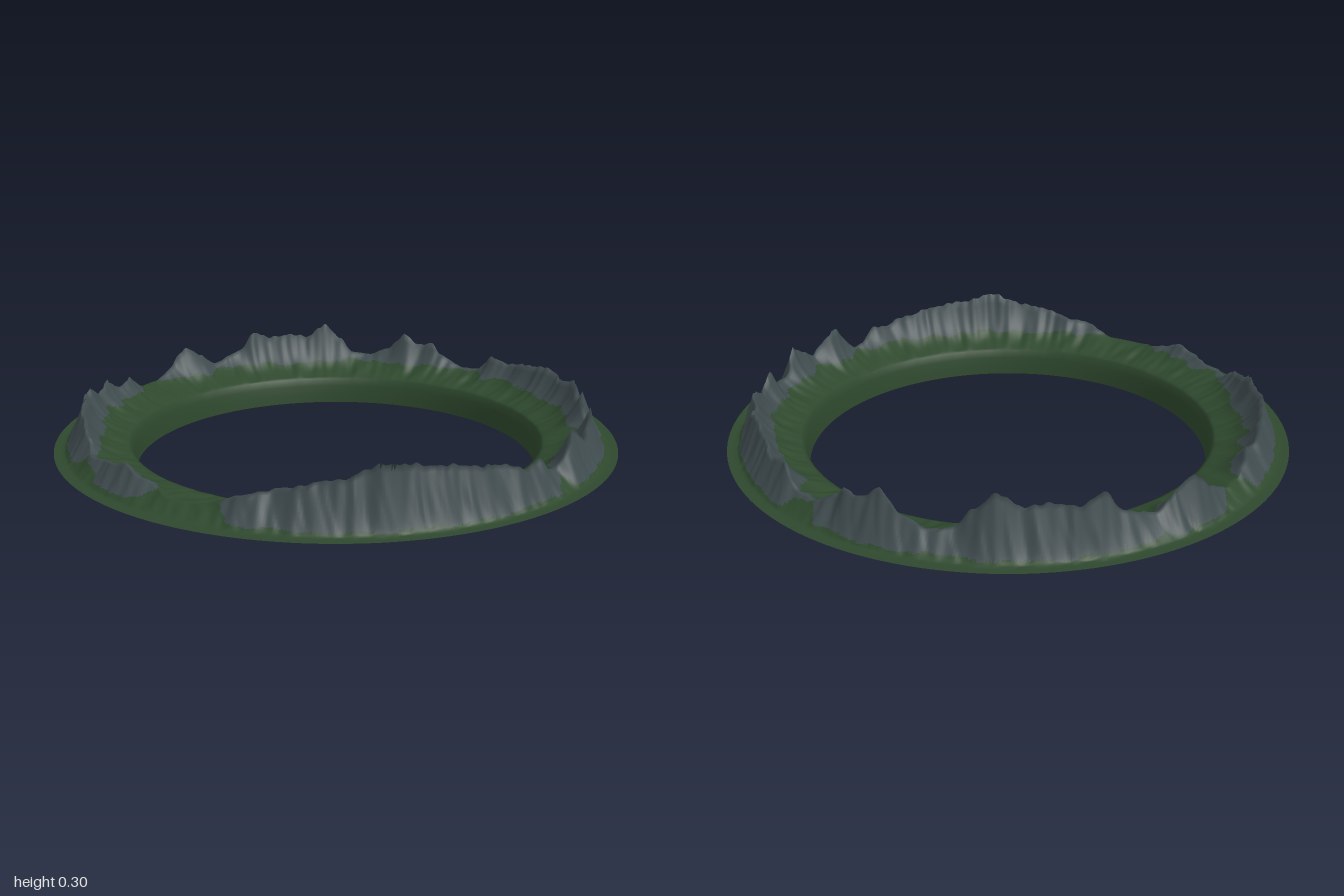
import * as THREE from 'three';

// Crest line: [angle in degrees from the front towards +x, height]
const CREST = [
  [0, .14], [8, .14], [14, .185], [18, .2], [24, .22], [28, .24], [33, .25], [38, .275], [42, .3],
  [48, .28], [57, .265], [62, .25], [67, .24], [72, .21], [77, .22], [81, .17], [84, .16], [90, .27],
  [93, .25], [98, .19], [103, .235], [106, .27], [111, .18], [116, .17], [121, .26], [126, .21],
  [132, .25], [138, .23], [145, .25], [155, .23], [161, .21], [166, .23], [171, .16], [176, .155],
  [182, .2], [185, .24], [189, .23], [193, .27], [198, .2], [203, .17], [208, .18], [211, .24],
  [216, .3], [221, .25], [226, .265], [231, .25], [236, .285], [240, .21], [248, .17], [253, .22],
  [257, .26], [262, .19], [268, .15], [273, .15], [279, .21], [284, .19], [289, .24], [294, .21],
  [300, .25], [306, .24], [311, .26], [317, .23], [323, .21], [329, .155], [335, .165], [341, .18],
  [346, .2], [351, .17], [356, .15],
];
const SEGMENTS = 720;
const R_WALL = 0.735, R_FOOT = 0.965, INNER_STEPS = 14, OUTER_STEPS = 12;

// Periodic ripple made of whole-number waves, about -1..1
const ripple = (a, f, p) =>
  (Math.sin(a * f + p) + Math.sin(a * (f * 2 + 3) + p * 2.3) + Math.sin(a * (f * 3 + 7) + p * 4.1)) / 2.2;

function crestHeight(a) {
  const deg = THREE.MathUtils.radToDeg(a) % 360;
  let i = CREST.length - 1;
  while (CREST[i][0] > deg) i--;
  const [a0, h0] = CREST[i];
  const [a1, h1] = CREST[i + 1] ?? [360, CREST[0][1]];
  const t = (deg - a0) / (a1 - a0);
  const h = THREE.MathUtils.lerp(h0, h1, t * 0.5 + t * t * (3 - 2 * t) * 0.5);
  return h + ripple(a, 47, 1) * 0.04 * Math.max(0, h - 0.14);
}

// Cross-section from the bottom of the inner wall, over the crest, to the outer rim
function section(a) {
  const h = crestHeight(a);
  const rc = 0.893 + 0.011 * ripple(a, 11, 0.7) + 0.003 * ripple(a, 41, 2);
  const pts = [[0.72, 0], [0.723, 0.035], [0.728, 0.07]];
  for (let k = 0; k <= INNER_STEPS; k++) {
    const t = k / INNER_STEPS;
    const bump = t * (1 - t) * (0.02 * ripple(a + t * 0.08, 17, 3) + 0.012 * ripple(a, 37, 1));
    const shelf = 0.1 + 0.042 * Math.pow(t, 0.75);
    pts.push([R_WALL + (rc - R_WALL) * t, shelf + (h - 0.142) * Math.pow(t, 3.4) + bump]);
  }
  for (let k = 1; k <= OUTER_STEPS; k++) {
    const t = 1 - k / OUTER_STEPS;
    const rib = t * (1 - t) * (h - 0.1) * (0.25 * ripple(a, 31, 5) + 0.1 * ripple(a + t * 0.05, 67, 2));
    pts.push([R_FOOT + (rc - R_FOOT) * t, 0.1 + (h - 0.1) * Math.pow(t, 1.3) + rib]);
  }
  pts.push([0.98, 0.1], [1, 0.1]);
  return { pts, h };
}

export function createModel() {
  const grass = new THREE.MeshStandardMaterial({ color: 0x2e482d, side: THREE.DoubleSide });
  grass.name = 'forest green';
  const rock = new THREE.MeshStandardMaterial({ color: 0x3f4b4e, side: THREE.DoubleSide });
  rock.name = 'slate grey';

  // Closed loop of cross-sections
  const positions = [], crests = [];
  let rows = 0;
  for (let i = 0; i < SEGMENTS; i++) {
    const a = (i / SEGMENTS) * Math.PI * 2;
    const { pts, h } = section(a);
    rows = pts.length;
    crests.push(h);
    for (const [r, y] of pts) positions.push(r * Math.sin(a), y, r * Math.cos(a));
  }

  // Faces are sorted into grass below the tree line and rock above it
  const grassFaces = [], rockFaces = [];
  const crestRow = 3 + INNER_STEPS;
  for (let i = 0; i < SEGMENTS; i++) {
    const next = (i + 1) % SEGMENTS;
    const wave = 0.008 * ripple((i / SEGMENTS) * Math.PI * 2, 13, 4);
    const low = 1 - THREE.MathUtils.smoothstep(crests[i], 0.145, 0.18);
    for (let j = 0; j < rows - 1; j++) {
      const line = j < crestRow ? 0.152 + wave : 0.113 + 0.045 * low + wave * 0.4;
      const a = i * rows + j, b = a + 1, c = next * rows + j, d = c + 1;
      for (const tri of [[a, b, c], [b, d, c]]) {
        const y = tri.reduce((s, v) => s + positions[v * 3 + 1], 0) / 3;
        (y > line ? rockFaces : grassFaces).push(...tri);
      }
    }
  }

  const geometry = new THREE.BufferGeometry();
  geometry.setAttribute('position', new THREE.Float32BufferAttribute(positions, 3));
  geometry.setIndex([...grassFaces, ...rockFaces]);
  geometry.addGroup(0, grassFaces.length, 0);
  geometry.addGroup(grassFaces.length, rockFaces.length, 1);
  geometry.computeVertexNormals();

  const ring = new THREE.Mesh(geometry, [grass, rock]);
  ring.name = 'mountainRing';
  const group = new THREE.Group();
  group.name = 'mountainRange';
  group.add(ring);
  return group;
}
